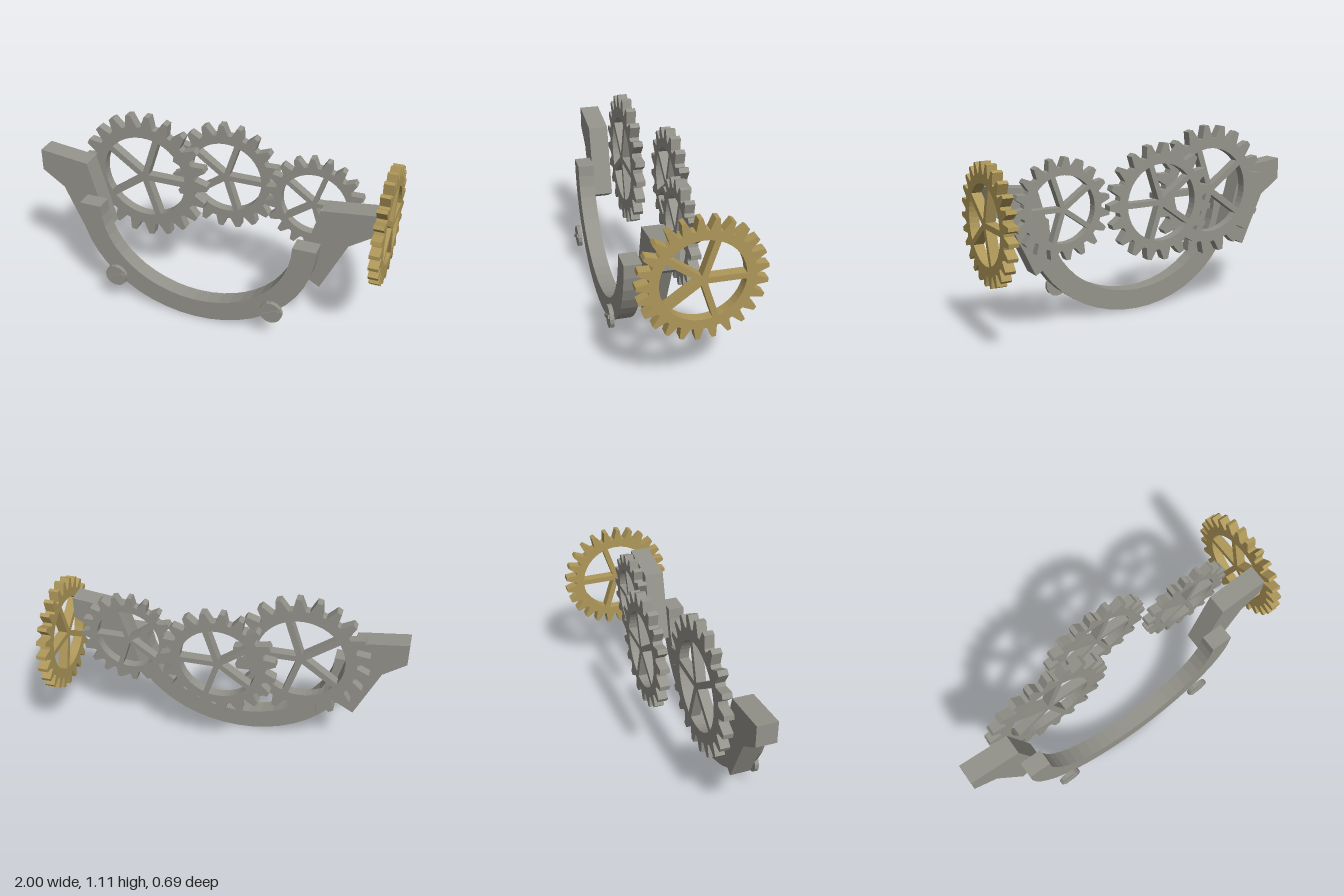
import * as THREE from 'three';

const steel = new THREE.MeshStandardMaterial({ color: 0x94938b });
steel.name = 'steel grey';
const brass = new THREE.MeshStandardMaterial({ color: 0xae9759 });
brass.name = 'brass';

const polar = (r, a) => new THREE.Vector2(r * Math.cos(a), r * Math.sin(a));

function extrude(name, shape, depth, material) {
  const geo = new THREE.ExtrudeGeometry(shape, { depth, bevelEnabled: false, curveSegments: 12 });
  const mesh = new THREE.Mesh(geo, material);
  mesh.name = name;
  return mesh;
}

// Toothed wheel with five spokes, centred on the z axis
function gear(name, { teeth, outer, hole, spoke, depth, phase = 0, material = steel }) {
  const root = outer * 0.815;
  const pitch = (Math.PI * 2) / teeth;
  const rim = [];
  for (let i = 0; i < teeth; i++) {
    const a = phase + i * pitch;
    rim.push(polar(root, a - 0.38 * pitch), polar(outer, a - 0.13 * pitch));
    rim.push(polar(outer, a + 0.13 * pitch), polar(root, a + 0.38 * pitch));
  }
  const shape = new THREE.Shape(rim);

  // Openings between the spokes
  const step = (Math.PI * 2) / 5;
  const inset = Math.asin(spoke / 2 / hole);
  for (let i = 0; i < 5; i++) {
    const from = i * step + inset;
    const to = (i + 1) * step - inset;
    const points = [polar(spoke / 2 / Math.sin(step / 2), (i + 0.5) * step)];
    for (let k = 0; k <= 8; k++) points.push(polar(hole, from + ((to - from) * k) / 8));
    shape.holes.push(new THREE.Path(points));
  }
  return extrude(name, shape, depth, material);
}

// Half-ring support, open at the top
function archSupport() {
  const points = [];
  const n = 24;
  for (let i = 0; i <= n; i++) {
    const a = Math.PI + (Math.PI * i) / n;
    points.push(new THREE.Vector2(0.695 * Math.cos(a), 0.62 * Math.sin(a)));
  }
  for (let i = n; i >= 0; i--) {
    const a = Math.PI + (Math.PI * i) / n;
    points.push(new THREE.Vector2(0.565 * Math.cos(a), 0.5 * Math.sin(a)));
  }
  const mesh = extrude('archSupport', new THREE.Shape(points), 0.095, steel);
  mesh.position.set(-0.026, 0.62, 0.2);
  return mesh;
}

// Angled arm behind each end of the arch
function arm(name, side) {
  const outline = [[0.972, 0.858], [0.682, 0.823], [0.569, 0.415], [0.704, 0.338], [0.843, 0.64], [0.972, 0.73]];
  const shape = new THREE.Shape(outline.map(([x, y]) => new THREE.Vector2(side * x, y)));
  const mesh = extrude(name, shape, 0.115, steel);
  mesh.position.set(-0.028, 0, 0.085);
  return mesh;
}

// Round screw head with a raised bar across it
function screw(name, x) {
  const group = new THREE.Group();
  group.name = name;
  const headGeo = new THREE.CylinderGeometry(0.065, 0.065, 0.024, 14);
  headGeo.rotateX(Math.PI / 2);
  const head = new THREE.Mesh(headGeo.toNonIndexed(), steel);
  head.geometry.computeVertexNormals();
  head.name = 'screwHead';
  const bar = new THREE.Mesh(new THREE.BoxGeometry(0.105, 0.02, 0.012), steel);
  bar.name = 'screwBar';
  bar.position.z = 0.014;
  bar.rotation.z = 0.45;
  group.add(head, bar);
  group.position.set(x, 0.19, 0.325);
  return group;
}

export function createModel() {
  const model = new THREE.Group();
  model.name = 'gearBracket';
  model.add(archSupport(), arm('rightArm', -1), arm('leftArm', 1));
  model.add(screw('rightScrew', -0.5), screw('leftScrew', 0.446));

  // Row of three grey gears
  const large = gear('largeGear', { teeth: 21, outer: 0.385, hole: 0.25, spoke: 0.036, depth: 0.055 });
  large.position.set(-0.422, 0.722, 0.004);
  const middle = gear('middleGear', { teeth: 19, outer: 0.33, hole: 0.217, spoke: 0.031, depth: 0.055 });
  middle.position.set(0.013, 0.722, -0.156);
  const small = gear('smallGear', { teeth: 19, outer: 0.281, hole: 0.186, spoke: 0.027, depth: 0.052 });
  small.position.set(0.565, 0.722, -0.052);

  // Brass gear facing sideways at the end of the left arm
  const side = gear('sideGear', {
    teeth: 25, outer: 0.329, hole: 0.217, spoke: 0.032, depth: 0.056, phase: Math.PI, material: brass,
  });
  side.rotation.y = Math.PI / 2;
  side.position.set(0.944, 0.682, -0.016);

  model.add(large, middle, small, side);
  return model;
}
